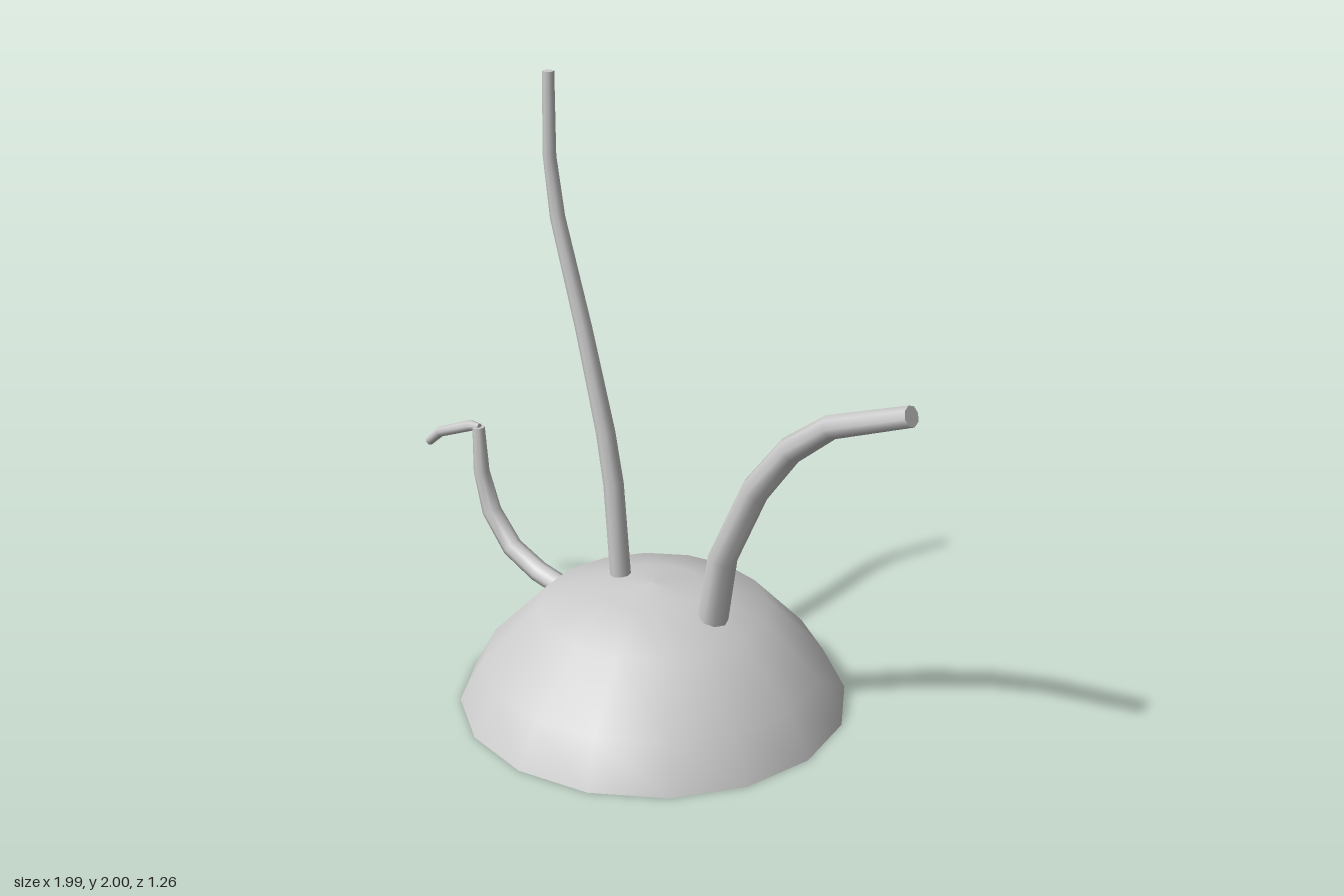
import * as THREE from 'three';

const SIDES = 8;

// Tapered, capped tube swept along a path in the xy plane; path entries are [x, y, radius]
function taperedTube(path) {
  const pos = [], index = [];
  const pts = path.map(([x, y]) => new THREE.Vector2(x, y));
  const ring = (i) => {
    const a = pts[Math.max(i - 1, 0)], b = pts[Math.min(i + 1, pts.length - 1)];
    const din = pts[i].clone().sub(a).normalize();
    const dout = b.clone().sub(pts[i]).normalize();
    const dir = din.add(dout).normalize();
    const start = pos.length / 3;
    for (let k = 0; k < SIDES; k++) {
      const t = (k / SIDES) * Math.PI * 2, r = path[i][2];
      const side = Math.cos(t) * r;
      pos.push(pts[i].x - dir.y * side, pts[i].y + dir.x * side, Math.sin(t) * r);
    }
    return start;
  };
  // walls
  const rings = path.map((_, i) => ring(i));
  for (let i = 0; i < rings.length - 1; i++) {
    for (let k = 0; k < SIDES; k++) {
      const n = (k + 1) % SIDES;
      const a = rings[i] + k, b = rings[i] + n, c = rings[i + 1] + k, d = rings[i + 1] + n;
      index.push(a, b, d, a, d, c);
    }
  }
  // end caps on their own vertices, so their edges stay sharp
  const first = ring(0), last = ring(path.length - 1);
  for (let k = 1; k < SIDES - 1; k++) {
    index.push(first, first + k + 1, first + k);
    index.push(last, last + k, last + k + 1);
  }
  const geo = new THREE.BufferGeometry();
  geo.setAttribute('position', new THREE.Float32BufferAttribute(pos, 3));
  geo.setIndex(index);
  geo.computeVertexNormals();
  return geo;
}

export function createModel() {
  const model = new THREE.Group();
  model.name = 'tentacledDome';
  const material = new THREE.MeshStandardMaterial({ color: 0xcccccc, side: THREE.DoubleSide });

  const add = (name, geometry) => {
    const mesh = new THREE.Mesh(geometry, material);
    mesh.name = name;
    model.add(mesh);
    return mesh;
  };

  // Hollow dome, open underneath
  const profile = [[0.63, 0], [0.555, 0.14], [0.37, 0.33], [0.17, 0.385], [0, 0.403]]
    .map(([x, y]) => new THREE.Vector2(x, y));
  add('dome', new THREE.LatheGeometry(profile, 16)).position.x = 0.045;

  // Tall upright tentacle
  add('tallTentacle', taperedTube([
    [-0.095, 0.35, 0.034], [-0.127, 0.7, 0.033], [-0.16, 0.87, 0.031], [-0.25, 1.2, 0.027],
    [-0.355, 1.54, 0.024], [-0.385, 1.73, 0.021], [-0.385, 1.995, 0.019],
  ]));

  // Thick tentacle arching to the left
  add('archedTentacle', taperedTube([
    [0.288, 0.345, 0.049], [0.325, 0.58, 0.047], [0.447, 0.845, 0.046],
    [0.573, 1.01, 0.042], [0.713, 1.12, 0.037], [0.985, 1.225, 0.032],
  ]));

  // Small tentacle curling up on the right, with its drooping tip
  add('curledTentacle', taperedTube([
    [-0.365, 0.255, 0.036], [-0.47, 0.275, 0.036], [-0.593, 0.328, 0.035],
    [-0.688, 0.435, 0.033], [-0.732, 0.57, 0.027], [-0.74, 0.73, 0.021],
  ]));
  add('curledTentacleTip', taperedTube([
    [-0.735, 0.733, 0.01], [-0.78, 0.725, 0.019], [-0.93, 0.662, 0.018], [-0.988, 0.612, 0.016],
  ]));

  return model;
}
